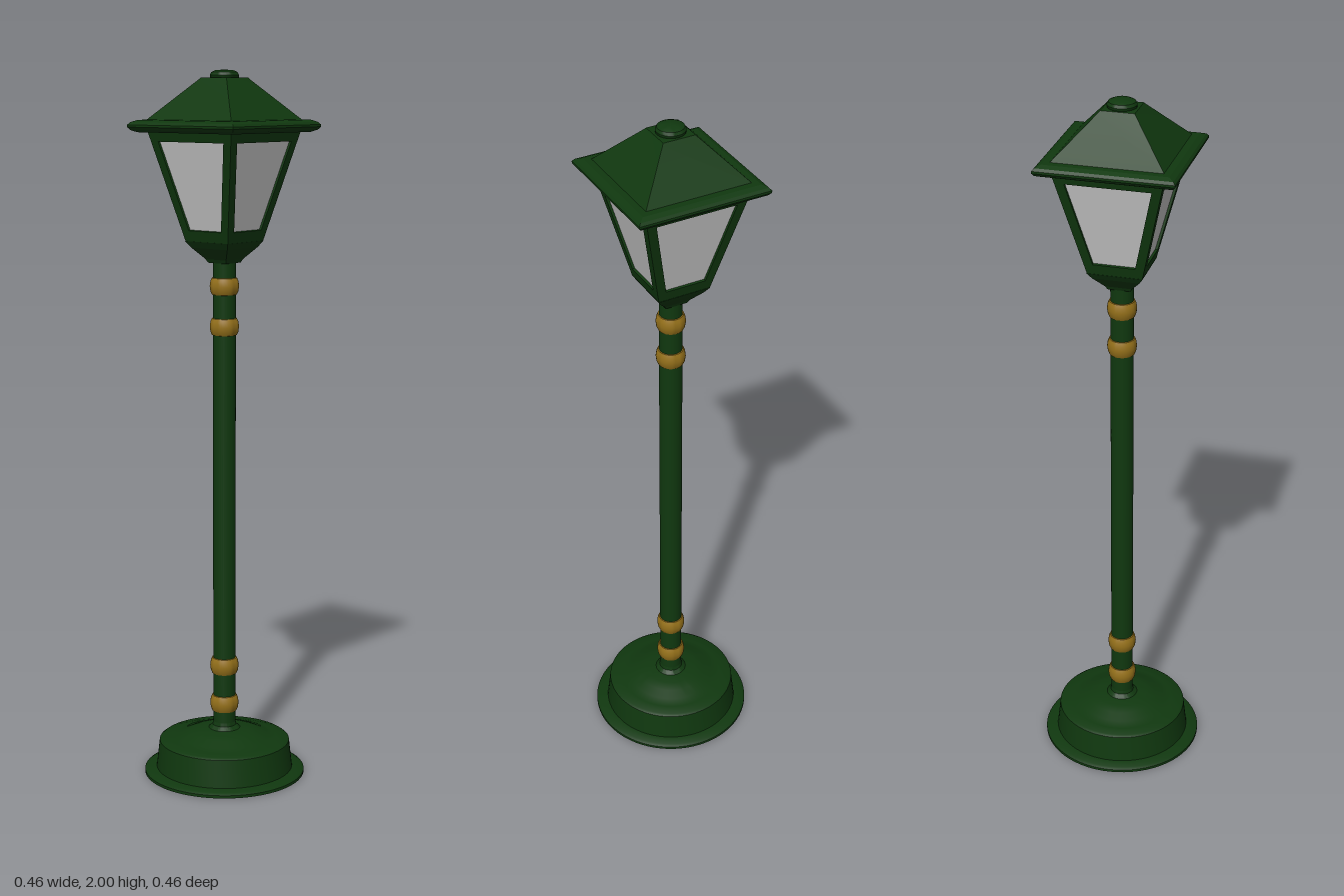
import * as THREE from 'three';
import { toCreasedNormals } from 'three/addons/utils/BufferGeometryUtils.js';

const green = new THREE.MeshStandardMaterial({ color: 0x10380f });
const gold = new THREE.MeshStandardMaterial({ color: 0x94701a });
const glass = new THREE.MeshStandardMaterial({ color: 0xcccccc });

const points = (profile, scale = 1) => profile.map(([r, y]) => new THREE.Vector2(r * scale, y));

// Round turned part from [radius, y] pairs, bottom to top
function turned(profile, segments = 48) {
  return toCreasedNormals(new THREE.LatheGeometry(points(profile), segments), 0.6);
}

// Square part from [half width, y] pairs, bottom to top
function square(profile) {
  const g = new THREE.LatheGeometry(points(profile, Math.SQRT2), 4, Math.PI / 4);
  return toCreasedNormals(g, 0.1);
}

export function createModel() {
  const model = new THREE.Group();
  const add = (name, geometry, material = green, parent = model) => {
    const mesh = new THREE.Mesh(geometry, material);
    mesh.name = name;
    parent.add(mesh);
    return mesh;
  };

  // Foot: thin flange, drum and domed shoulder
  add('base', turned([
    [0, 0], [0.23, 0], [0.23, 0.008], [0.222, 0.013], [0.196, 0.016],
    [0.187, 0.095], [0.18, 0.1], [0.15, 0.101], [0.125, 0.108], [0.1, 0.12],
    [0.075, 0.127], [0.045, 0.13], [0.034, 0.14], [0.032, 0.15],
  ], 64));

  const post = add('post', new THREE.CylinderGeometry(0.032, 0.032, 1.37, 32));
  post.position.y = 0.805;

  // Rounded bands in two pairs
  for (const y of [0.205, 0.317, 1.297, 1.41]) {
    const band = add('band', turned([
      [0.031, -0.024], [0.035, -0.023], [0.039, -0.014], [0.041, 0],
      [0.039, 0.014], [0.035, 0.023], [0.031, 0.024],
    ], 32), gold);
    band.position.y = y;
  }

  // Lantern
  const lantern = new THREE.Group();
  lantern.name = 'lantern';
  model.add(lantern);

  add('lanternCup', square([
    [0, 1.475], [0.032, 1.475], [0.037, 1.485], [0.065, 1.517], [0.077, 1.535], [0, 1.537],
  ]), green, lantern);

  // Tapered glass just inside the frames
  const y0 = 1.535, y1 = 1.84, w0 = 0.076, w1 = 0.15;
  add('glass', square([[w0 - 0.007, y0], [w1 - 0.007, y1]]), glass, lantern);

  // One leaning frame per side, with a trapezoid opening
  const lean = Math.atan2(w1 - w0, y1 - y0);
  const up = (y) => (y - y0) / Math.cos(lean);
  const frame = new THREE.Shape([
    new THREE.Vector2(-w0, 0), new THREE.Vector2(w0, 0),
    new THREE.Vector2(w1, up(y1)), new THREE.Vector2(-w1, up(y1)),
  ]);
  frame.holes.push(new THREE.Path([
    new THREE.Vector2(-0.058, up(1.565)), new THREE.Vector2(-0.116, up(1.807)),
    new THREE.Vector2(0.116, up(1.807)), new THREE.Vector2(0.058, up(1.565)),
  ]));
  const frameGeometry = new THREE.ExtrudeGeometry(frame, { depth: 0.012, bevelEnabled: false });
  frameGeometry.translate(0, 0, -0.012);
  frameGeometry.rotateX(lean);
  frameGeometry.translate(0, y0, w0);
  for (let i = 0; i < 4; i++) {
    add('frame', frameGeometry, green, lantern).rotation.y = i * Math.PI / 2;
  }

  // Eave with bevelled edge, hipped roof and flat top
  add('roof', square([
    [0, 1.832], [0.168, 1.832], [0.182, 1.838], [0.188, 1.846], [0.188, 1.852],
    [0.182, 1.859], [0.168, 1.865], [0.15, 1.866], [0.05, 1.973], [0.046, 1.978], [0, 1.978],
  ]), green, lantern);

  add('finial', turned([
    [0.034, 1.972], [0.039, 1.978], [0.04, 1.985], [0.036, 1.993], [0.025, 1.998], [0, 2],
  ], 32), green, lantern);

  return model;
}
